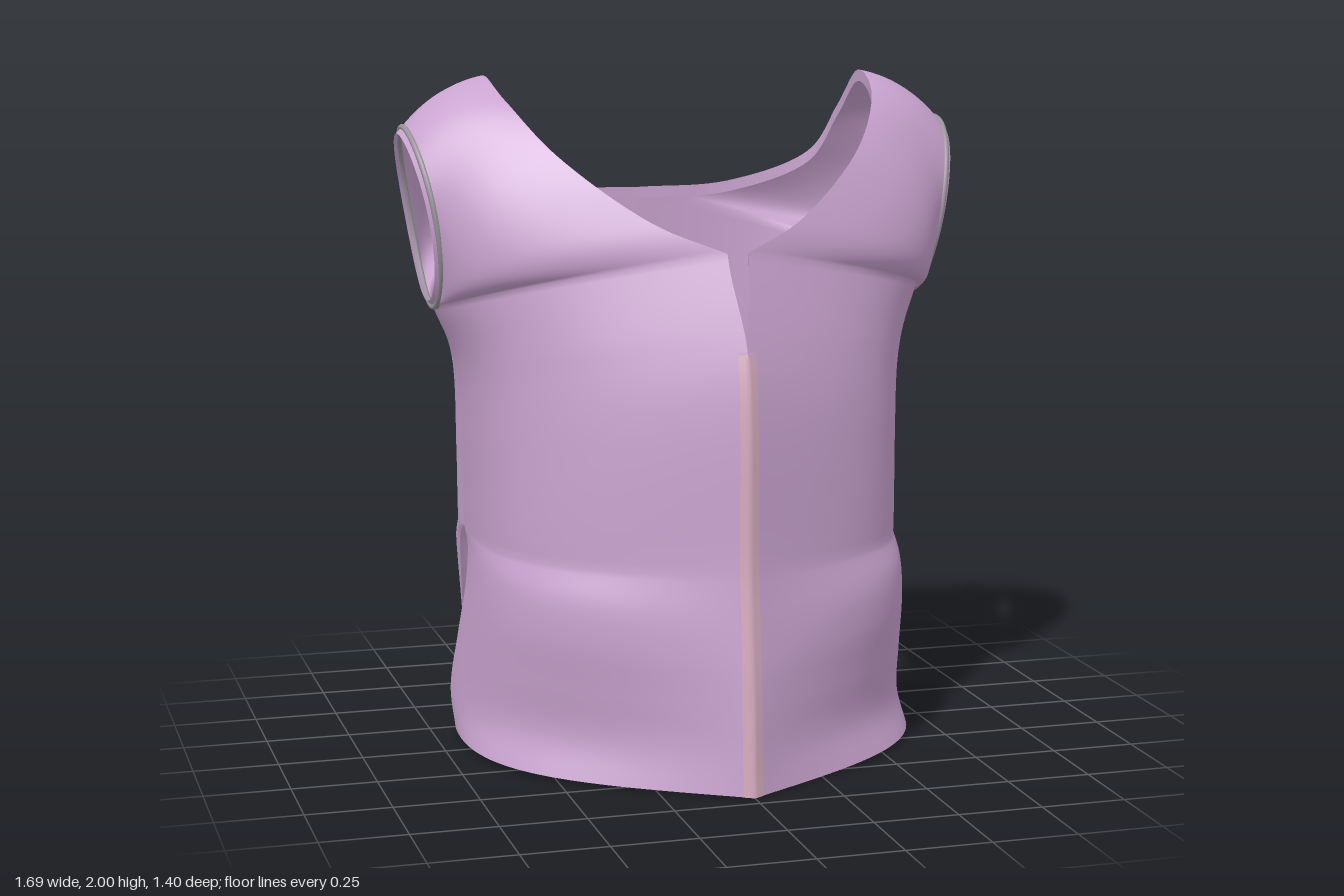
import * as THREE from 'three';
import { mergeGeometries, mergeVertices } from 'three/addons/utils/BufferGeometryUtils.js';

const { smoothstep } = THREE.MathUtils;
const spline = (pts) => new THREE.CatmullRomCurve3(pts.map((p) => new THREE.Vector3(...p)));
// Spline through [y, z] points, with x from a rule on y
function profile(pts, xRule) {
  const curve = spline(pts.map(([y, z]) => [0, y, z]));
  return (t) => {
    const p = curve.getPoint(t);
    return p.setX(xRule(p.y));
  };
}

// Edges of the left half. w runs from the front hem (0) over the shoulder (3) to the back hem (6).
const centreFront = profile([[0, 0.7], [0.32, 0.68], [0.63, 0.652], [1.2, 0.63], [1.53, 0.52]], (y) => 0.03 * smoothstep(y, 1.25, 1.53));
const centreBack = profile([[1.62, -0.56], [1.1, -0.575], [0.63, -0.595], [0.3, -0.64], [0, -0.7]], () => 0);
const neckline = spline([
  [0.03, 1.53, 0.52], [0.22, 1.61, 0.42], [0.45, 1.79, 0.24], [0.56, 1.94, 0.05], [0.585, 2, -0.15],
  [0.585, 1.88, -0.34], [0.53, 1.73, -0.46], [0.29, 1.635, -0.54], [0, 1.62, -0.56],
]);
const sideSeam = spline([[0.63, 0.63, -0.27], [0.64, 0.85, -0.23], [0.67, 1.15, -0.165], [0.745, 1.325, -0.125]]);
const slitFront = profile([[0.02, -0.17], [0.12, -0.285], [0.3, -0.24], [0.47, -0.185], [0.58, -0.195], [0.63, -0.27]], (y) => 0.63 + 0.09 * (0.63 - y));
const slitBack = profile([[0.63, -0.27], [0.58, -0.355], [0.48, -0.405], [0.33, -0.455], [0.07, -0.54], [0.01, -0.59]], (y) => 0.63 - 0.1 * (0.63 - y));

// Oval armhole from the underarm, leaning outward towards the shoulder
function armhole(t) {
  const a = t * Math.PI * 2;
  const y = 1.59 - 0.265 * Math.cos(a);
  const x = 0.745 + 0.08 * Math.max(0, (y - 1.325) / 0.53) ** 1.6;
  return new THREE.Vector3(x, y, -0.125 + 0.218 * Math.sin(a));
}

function innerEdge(w) {
  if (w <= 2) return centreFront(w / 2);
  return w <= 4 ? neckline.getPoint((w - 2) / 2) : centreBack((w - 4) / 2);
}
function outerEdge(w) {
  if (w <= 1) return slitFront(w);
  if (w <= 2) return sideSeam.getPoint(w - 1);
  if (w <= 4) return armhole((w - 2) / 2);
  return w <= 5 ? sideSeam.getPoint(5 - w) : slitBack(w - 5);
}

// Fullness [x, 0, z] near the centre and near the side, at hem, waist and chest
const fullness = {
  front: [spline([[0.22, 0, 0.05], [0.22, 0, 0.105], [0.15, 0, 0.047]]), spline([[0.28, 0, 0.2], [0.27, 0, 0.32], [0.22, 0, 0.153]])],
  back: [spline([[0.19, 0, -0.037], [0.21, 0, -0.1], [0.17, 0, -0.163]]), spline([[0.17, 0, 0.01], [0.25, 0, -0.13], [0.22, 0, -0.247]])],
};

// Cross-section of the cloth at w, from the inner to the outer edge
function section(w) {
  const a = innerEdge(w), b = outerEdge(w);
  const fromShoulder = Math.abs(w - 3);
  const k = smoothstep(fromShoulder, 0.3, 1);
  const height = Math.min(1, (3 - fromShoulder) / 2);
  const controls = fullness[w < 3 ? 'front' : 'back'].map((curve, i) => {
    const p = a.clone().lerp(b, (i + 1) / 3).addScaledVector(curve.getPoint(height), k);
    p.x += 0.015 * (1 - k);
    p.y += 0.03 * (1 - k);
    return p;
  });
  return new THREE.CubicBezierCurve3(a, ...controls, b);
}
function cloth(u, w) {
  const p = section(w).getPoint(u);
  return p.set(Math.max(0, p.x), Math.max(0, p.y), p.z);
}

// Grid of quads from a point rule f(s, t), both from 0 to 1
function grid(f, ns, nt) {
  const pos = [], index = [];
  for (let j = 0; j <= nt; j++) for (let i = 0; i <= ns; i++) pos.push(...f(i / ns, j / nt).toArray());
  for (let j = 0; j < nt; j++) {
    for (let i = 0; i < ns; i++) {
      const a = j * (ns + 1) + i, b = a + ns + 1;
      index.push(a, a + 1, b + 1, a, b + 1, b);
    }
  }
  const geo = new THREE.BufferGeometry();
  geo.setAttribute('position', new THREE.Float32BufferAttribute(pos, 3));
  return geo.setIndex(index);
}

// Adds the mirror image and welds the two halves
function mirrored(geo) {
  geo.deleteAttribute('normal');
  geo.deleteAttribute('uv');
  const other = geo.clone().scale(-1, 1, 1);
  const ix = other.index.array;
  for (let i = 0; i < ix.length; i += 3) [ix[i], ix[i + 1]] = [ix[i + 1], ix[i]];
  const whole = mergeVertices(mergeGeometries([geo, other]), 1e-4);
  whole.computeVertexNormals();
  return whole;
}

export function createModel() {
  const model = new THREE.Group();
  const fabric = 0xc9a3cf;
  const add = (name, geo, color = fabric) => {
    const mesh = new THREE.Mesh(mirrored(geo), new THREE.MeshStandardMaterial({ color, side: THREE.DoubleSide }));
    mesh.name = name;
    model.add(mesh);
  };

  // Body: both fronts, shoulders and back in one smooth surface
  add('vestBody', grid((s, t) => cloth(s, t * 6), 40, 192));

  // Pale strip down the closed part of the front
  add('frontPlacket', grid((s, t) => {
    const p = cloth(s * 0.022, t * 1.58);
    return p.setZ(p.z + 0.003);
  }, 3, 40), 0xd4a9bd);

  // Neck edge turned down to the inside
  add('neckFacing', grid((s, t) => {
    const p = neckline.getPoint(t);
    return p.setY(p.y - 0.035 * s);
  }, 2, 80));

  // Armhole piping and the narrow cuff outside it
  const armCurve = new THREE.CatmullRomCurve3(Array.from({ length: 24 }, (_, i) => armhole(i / 24)), true);
  add('armholePiping', new THREE.TubeGeometry(armCurve, 80, 0.009, 8, true), 0x9a949c);
  add('armholeCuff', grid((s, t) => {
    const p = armhole(t);
    const k = 1 - 0.07 * s;
    return p.set(p.x + 0.018 * s, 1.59 + (p.y - 1.59) * k, -0.125 + (p.z + 0.125) * k);
  }, 3, 80));

  // Hem edges turned to the inside
  for (const [name, w] of [['frontHemFacing', 0], ['backHemFacing', 6]]) {
    add(name, grid((s, t) => {
      const p = cloth(t, w);
      return p.set(p.x * (1 - 0.03 * s), p.y + 0.012 * s, p.z * (1 - 0.03 * s));
    }, 2, 40));
  }
  return model;
}
